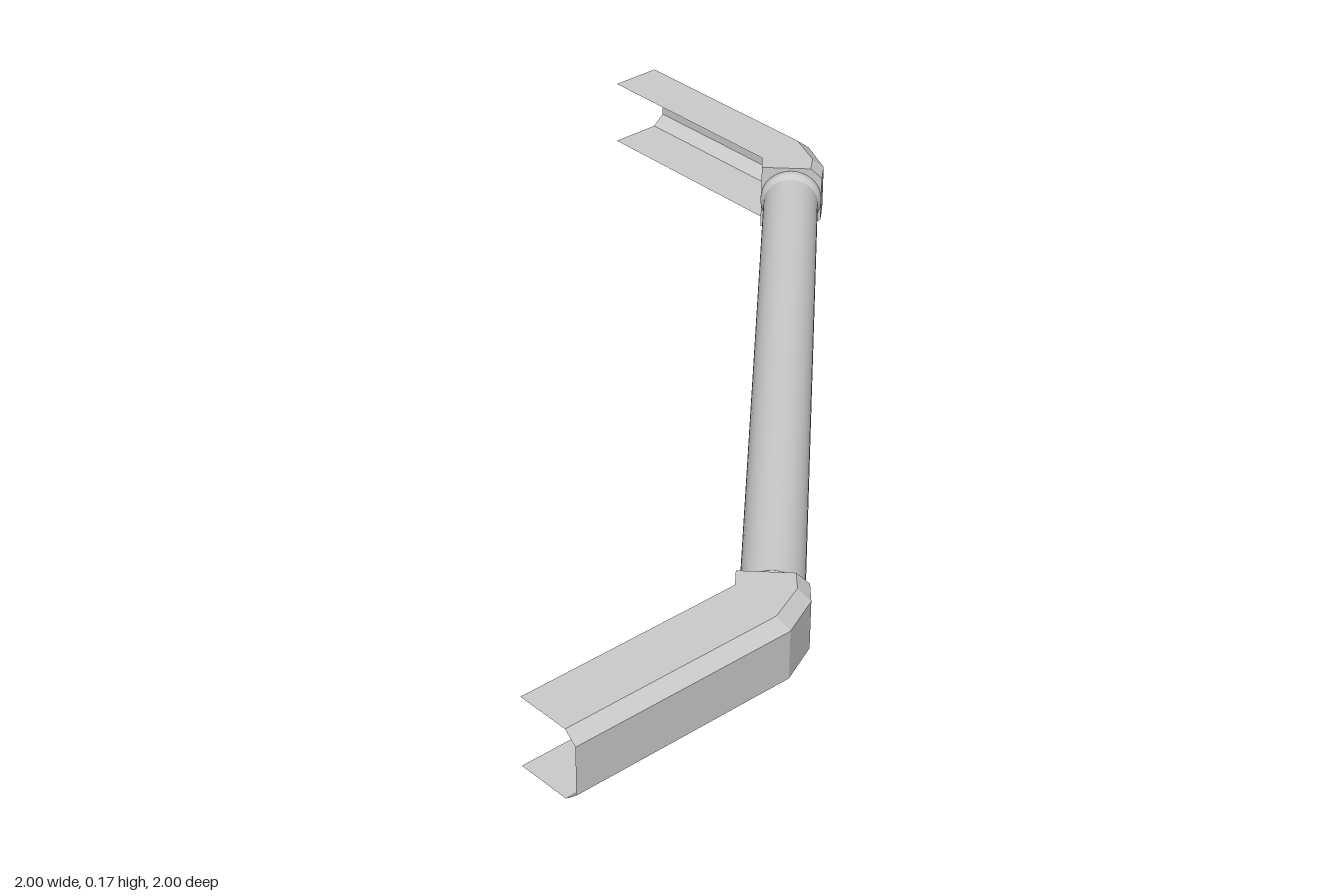
import * as THREE from 'three';

const H = 0.165, MID = H / 2, CH = 0.025;
const material = new THREE.MeshStandardMaterial({ color: 0xcccccc, side: THREE.DoubleSide });
const flat = new THREE.MeshStandardMaterial({ color: 0xcccccc, side: THREE.DoubleSide, flatShading: true });

// Plan positions [x, z] of the open edge, chamfer line and outer wall, from free end to tube
const stations = [
  { inner: [-1, 0.84], edge: [-1, 0.97], outer: [-1, 1] },
  { inner: [-0.45, 0.84], edge: [-0.46, 0.97], outer: [-0.45, 1] },
  { inner: [-0.435, 0.825], edge: [-0.365, 0.93], outer: [-0.35, 0.955] },
  { inner: [-0.415, 0.805], edge: [-0.33, 0.89], outer: [-0.31, 0.91] },
];

function section({ inner, edge, outer }) {
  return [[inner, H], [edge, H], [outer, H - CH], [outer, CH], [edge, 0], [inner, 0]]
    .map(([p, y]) => [p[0], y, p[1]]);
}

function sheet(triangles) {
  const g = new THREE.BufferGeometry();
  g.setAttribute('position', new THREE.Float32BufferAttribute(triangles.flat(), 3));
  g.computeVertexNormals();
  return g;
}

function createBracket() {
  const bracket = new THREE.Group();
  const rows = stations.map(section);

  // Folded channel, open on its inner side
  const tris = [];
  for (let i = 0; i < rows.length - 1; i++) {
    for (let j = 0; j < 5; j++) {
      const a = rows[i][j], b = rows[i + 1][j], c = rows[i + 1][j + 1], d = rows[i][j + 1];
      tris.push(a, d, c, a, c, b);
    }
  }
  const channel = new THREE.Mesh(sheet(tris), flat);
  channel.name = 'channel';

  // Plate closing the channel at the tube
  const end = rows[rows.length - 1], fan = [];
  for (let j = 1; j < 5; j++) fan.push(end[0], end[j], end[j + 1]);
  const plate = new THREE.Mesh(sheet(fan), flat);
  plate.name = 'endPlate';
  bracket.add(channel, plate);
  return bracket;
}

export function createModel() {
  const model = new THREE.Group();

  // Two brackets, the second turned half round the diagonal
  const first = createBracket();
  first.name = 'rightBracket';
  const second = createBracket();
  second.name = 'leftBracket';
  second.quaternion.setFromAxisAngle(new THREE.Vector3(1, 0, 1).normalize(), Math.PI);
  second.position.y = H;
  model.add(first, second);

  // Diagonal tube with flared collars at both ends
  const half = 0.862;
  const profile = [[0, -half], [0.075, -half], [0.075, -half + 0.015], [0.067, -half + 0.03],
    [0.067, half - 0.03], [0.075, half - 0.015], [0.075, half], [0, half]];
  const pts = [];
  profile.forEach(([r, y], i) => {
    // Doubled points keep the collar edges crisp
    pts.push(new THREE.Vector2(r, y));
    if (i > 0 && i < profile.length - 1) pts.push(new THREE.Vector2(r, y + 0.0005));
  });
  const tube = new THREE.Mesh(new THREE.LatheGeometry(pts, 32), material);
  tube.name = 'tube';
  tube.quaternion.setFromUnitVectors(new THREE.Vector3(0, 1, 0), new THREE.Vector3(1, 0, -1).normalize());
  tube.position.set(0.247, MID, 0.247);
  model.add(tube);
  return model;
}
